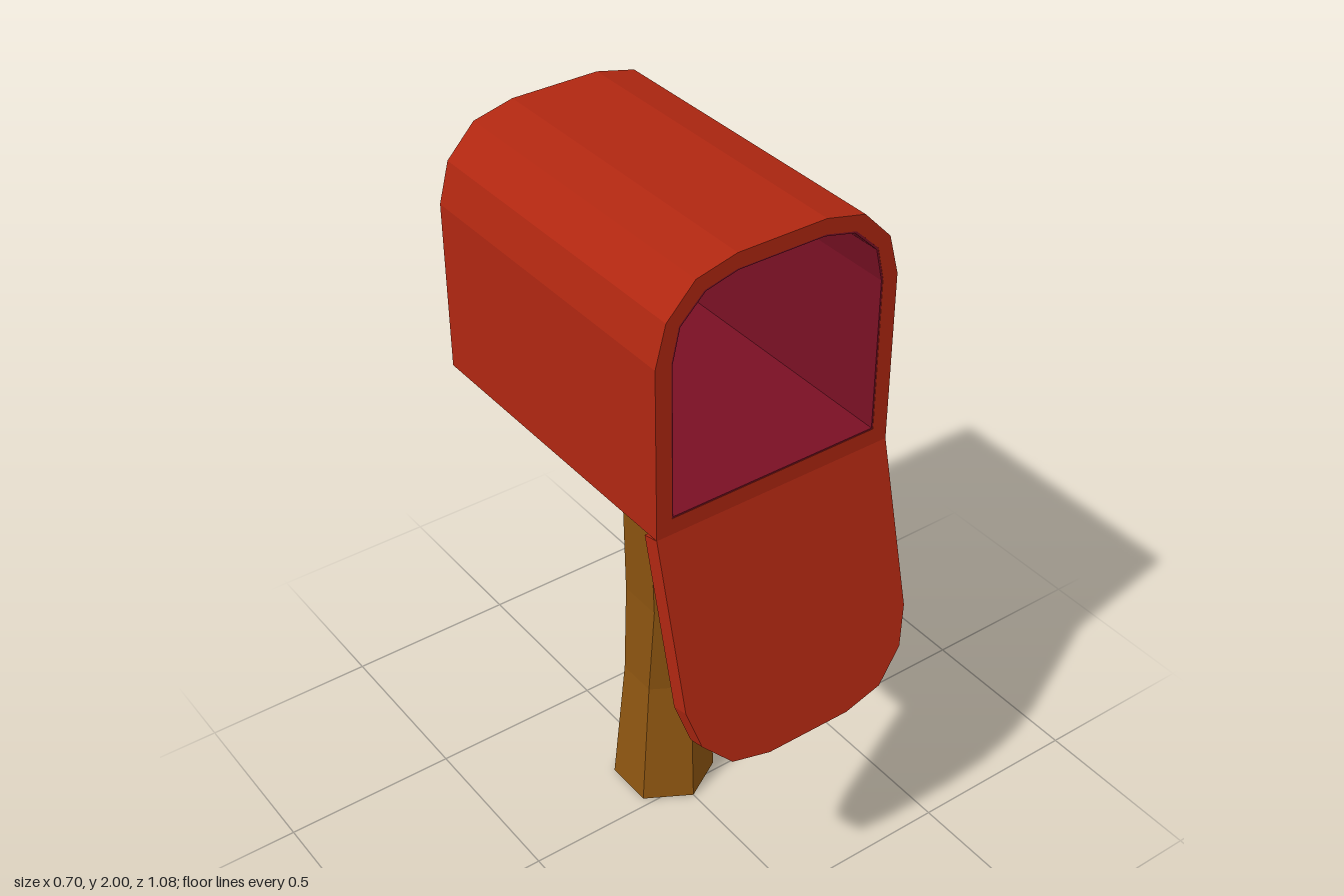
import * as THREE from 'three';

const mat = (name, color) => {
  const m = new THREE.MeshStandardMaterial({ color });
  m.name = name;
  return m;
};

// Arched outline: flat bottom at y = 0, faceted round top; flip = -1 hangs it downwards
function arch(pts, flip = 1) {
  const right = pts.map(([x, y]) => new THREE.Vector2(x, y * flip));
  const left = pts.map(([x, y]) => new THREE.Vector2(-x, y * flip)).reverse();
  return [...right, ...left];
}

function slab(name, outline, hole, z0, z1, material) {
  const shape = new THREE.Shape(outline);
  if (hole) shape.holes.push(new THREE.Path(hole));
  const geo = new THREE.ExtrudeGeometry(shape, { depth: z1 - z0, bevelEnabled: false });
  geo.translate(0, 0, z0);
  const mesh = new THREE.Mesh(geo, material);
  mesh.name = name;
  return mesh;
}

// Faceted skin through rings of equal point count, closed at both ends
function loft(name, rings, material) {
  const pos = [];
  const tri = (a, b, c) => pos.push(...a, ...b, ...c);
  const n = rings[0].length;
  for (let k = 0; k < rings.length - 1; k++) {
    const lo = rings[k], hi = rings[k + 1];
    for (let i = 0; i < n; i++) {
      const j = (i + 1) % n;
      tri(lo[i], lo[j], hi[j]);
      tri(lo[i], hi[j], hi[i]);
    }
  }
  const first = rings[0], last = rings[rings.length - 1];
  for (let i = 1; i < n - 1; i++) {
    tri(first[0], first[i + 1], first[i]);
    tri(last[0], last[i], last[i + 1]);
  }
  const geo = new THREE.BufferGeometry();
  geo.setAttribute('position', new THREE.Float32BufferAttribute(pos, 3));
  geo.computeVertexNormals();
  const mesh = new THREE.Mesh(geo, material);
  mesh.name = name;
  return mesh;
}

export function createModel() {
  const red = mat('red paint', 0xb02711);
  const maroon = mat('maroon lining', 0x7a1024);
  const wood = mat('brown wood', 0x8c5410);
  const model = new THREE.Group();
  model.name = 'mailbox';

  const outer = [[0.348, 0], [0.348, 0.475], [0.318, 0.585], [0.238, 0.668], [0.125, 0.695]];
  const inner = [[0.304, 0.046], [0.304, 0.475], [0.283, 0.565], [0.214, 0.632], [0.125, 0.654]];
  const lining = inner.map(([x, y], i) => [x - 0.004, i ? y - 0.004 : y + 0.004]);

  // Hollow box: shell, back wall and thin coloured lining
  const box = new THREE.Group();
  box.name = 'box';
  box.position.y = 1.305;
  box.add(
    slab('shell', arch(outer), arch(inner), -0.49, 0.37, red),
    slab('backWall', arch(outer), null, -0.54, -0.49, red),
    slab('lining', arch(inner), arch(lining), -0.49, 0.369, maroon),
    slab('backLining', arch(lining), null, -0.49, -0.485, maroon),
  );
  model.add(box);

  // Open door hanging from the front bottom edge
  const door = slab('door', arch(outer, -1), null, -0.05, 0, red);
  door.position.set(0, 1.305, 0.37);
  door.rotation.x = -0.245;
  model.add(door);

  // Crooked six-sided post: [y, centre x, centre z, radius]
  const post = [
    [0, 0, -0.098, 0.145], [0.38, 0.021, -0.112, 0.118], [0.67, 0.04, -0.098, 0.133],
    [1.0, 0.015, -0.08, 0.126], [1.24, 0, -0.095, 0.107], [1.32, 0, -0.098, 0.119],
  ].map(([y, cx, cz, r]) => Array.from({ length: 6 }, (_, i) => {
    const a = (i * Math.PI) / 3;
    return [cx + r * Math.sin(a), y, cz + r * Math.cos(a)];
  }));
  model.add(loft('post', post, wood));

  // Twig stub growing from the side: upper [x, y, z, half width], then lower
  const twig = [
    [[0.124, 1.0, -0.08, 0.063], [0.155, 0.67, -0.098, 0.066]],
    [[0.15, 0.97, -0.088, 0.02], [0.21, 0.82, -0.088, 0.028]],
    [[0.242, 1.03, -0.088, 0.022], [0.288, 0.967, -0.088, 0.026]],
  ].map(([[ux, uy, uz, uw], [lx, ly, lz, lw]]) => [
    [ux, uy, uz - uw], [ux, uy, uz + uw], [lx, ly, lz + lw], [lx, ly, lz - lw],
  ]);
  model.add(loft('twig', twig, wood));

  return model;
}
